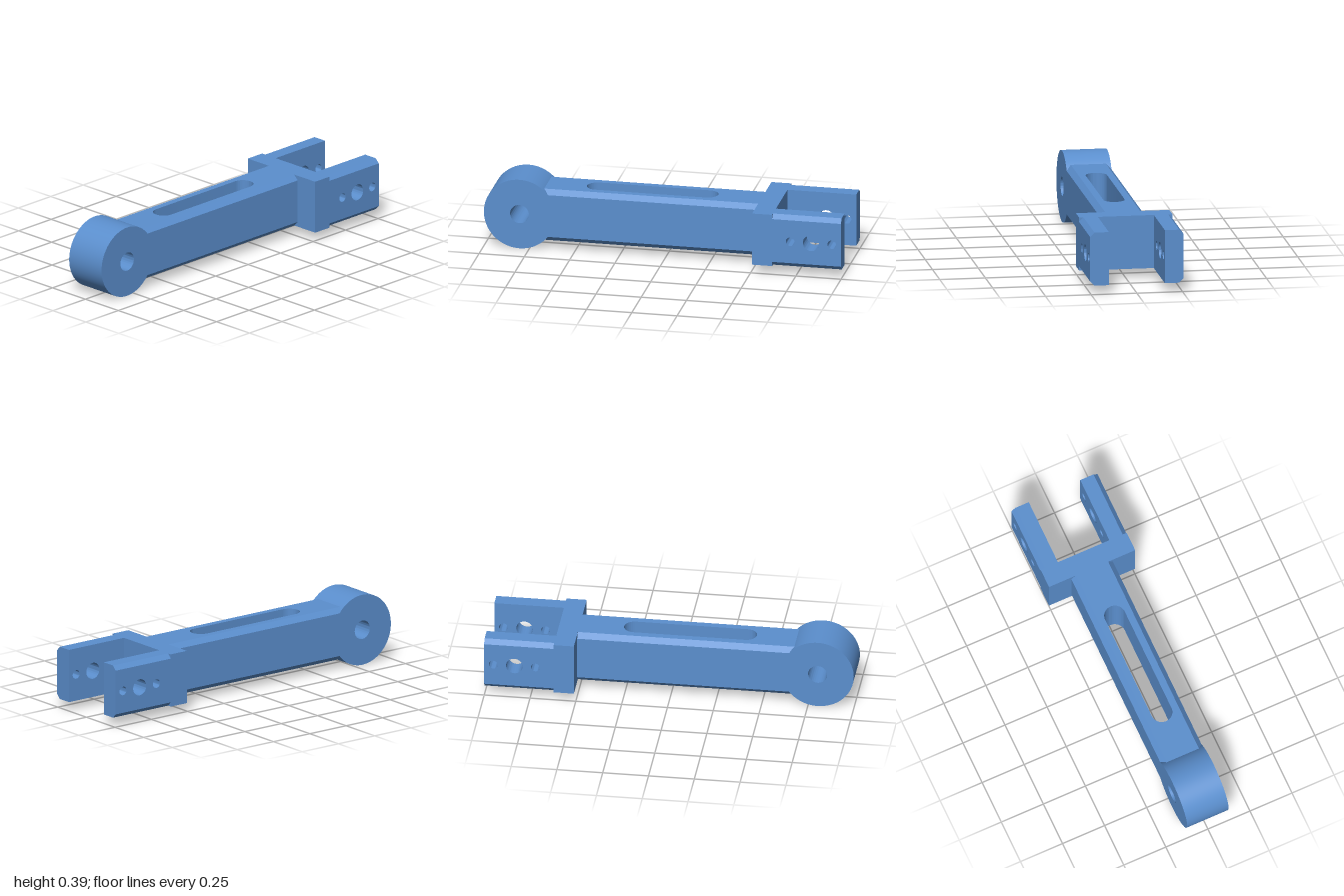
import * as THREE from 'three';
import { toCreasedNormals } from 'three/addons/utils/BufferGeometryUtils.js';

const AXIS_Y = 0.197;  // height of the link's centreline
const HALF_H = 0.147;  // half height of beam and yoke
const BEAM_W = 0.123;  // half thickness of beam and eye

function rect(x0, x1, half) {
  return new THREE.Shape([
    new THREE.Vector2(x0, -half), new THREE.Vector2(x1, -half),
    new THREE.Vector2(x1, half), new THREE.Vector2(x0, half),
  ]);
}

function addHole(shape, x, r) {
  shape.holes.push(new THREE.Path().absarc(x, 0, r, 0, Math.PI * 2, true));
}

// Extrude through the given z levels; the edges at y = +-half are drawn in
// by the inset of each level, which chamfers them and leaves the holes alone.
function layered(shape, half, levels, insets) {
  const n = levels.length - 1;
  const geo = new THREE.ExtrudeGeometry(shape, { depth: n, steps: n, bevelEnabled: false, curveSegments: 48 });
  const p = geo.attributes.position;
  for (let i = 0; i < p.count; i++) {
    const k = Math.round(p.getZ(i));
    const y = p.getY(i);
    if (Math.abs(Math.abs(y) - half) < 1e-5) p.setY(i, Math.sign(y) * (half - insets[k]));
    p.setZ(i, levels[k]);
  }
  return toCreasedNormals(geo, 0.5);
}

export function createModel() {
  const group = new THREE.Group();
  group.name = 'clevisLink';
  const blue = new THREE.MeshStandardMaterial({ color: 0x5b8fce });
  blue.name = 'steel blue';

  const add = (name, geo) => {
    const mesh = new THREE.Mesh(geo, blue);
    mesh.name = name;
    mesh.position.y = AXIS_Y;
    group.add(mesh);
    return mesh;
  };

  // Round eye with pin bore
  const eye = new THREE.Shape().absarc(-0.803, 0, 0.197, 0, Math.PI * 2, false);
  addHole(eye, -0.803, 0.052);
  add('eye', layered(eye, 0.197, [-BEAM_W, BEAM_W], [0, 0]));

  // Beam with chamfered long edges and a slot through its height
  const beam = rect(-0.675, 0.51, BEAM_W);
  const slot = new THREE.Path();
  slot.absarc(0.212, 0, 0.058, Math.PI / 2, -Math.PI / 2, true);
  slot.absarc(-0.397, 0, 0.058, -Math.PI / 2, -Math.PI * 1.5, true);
  slot.closePath();
  beam.holes.push(slot);
  const c = 0.027;
  const beamGeo = layered(beam, BEAM_W, [-HALF_H, -HALF_H + c, HALF_H - c, HALF_H], [c, 0, 0, c]);
  add('beam', beamGeo.rotateX(-Math.PI / 2));

  // Cross block of the yoke
  const block = add('yokeBlock', new THREE.BoxGeometry(0.11, 2 * HALF_H, 0.512));
  block.position.x = 0.565;

  // Two prongs, drilled, with chamfered outer edges
  const prong = rect(0.62, 1, HALF_H);
  addHole(prong, 0.72, 0.024);
  addHole(prong, 0.835, 0.045);
  addHole(prong, 0.95, 0.024);
  const prongGeo = layered(prong, HALF_H, [0.153, 0.232, 0.256], [0, 0, 0.024]);
  add('frontProng', prongGeo);
  add('backProng', prongGeo).rotation.x = Math.PI;

  return group;
}
